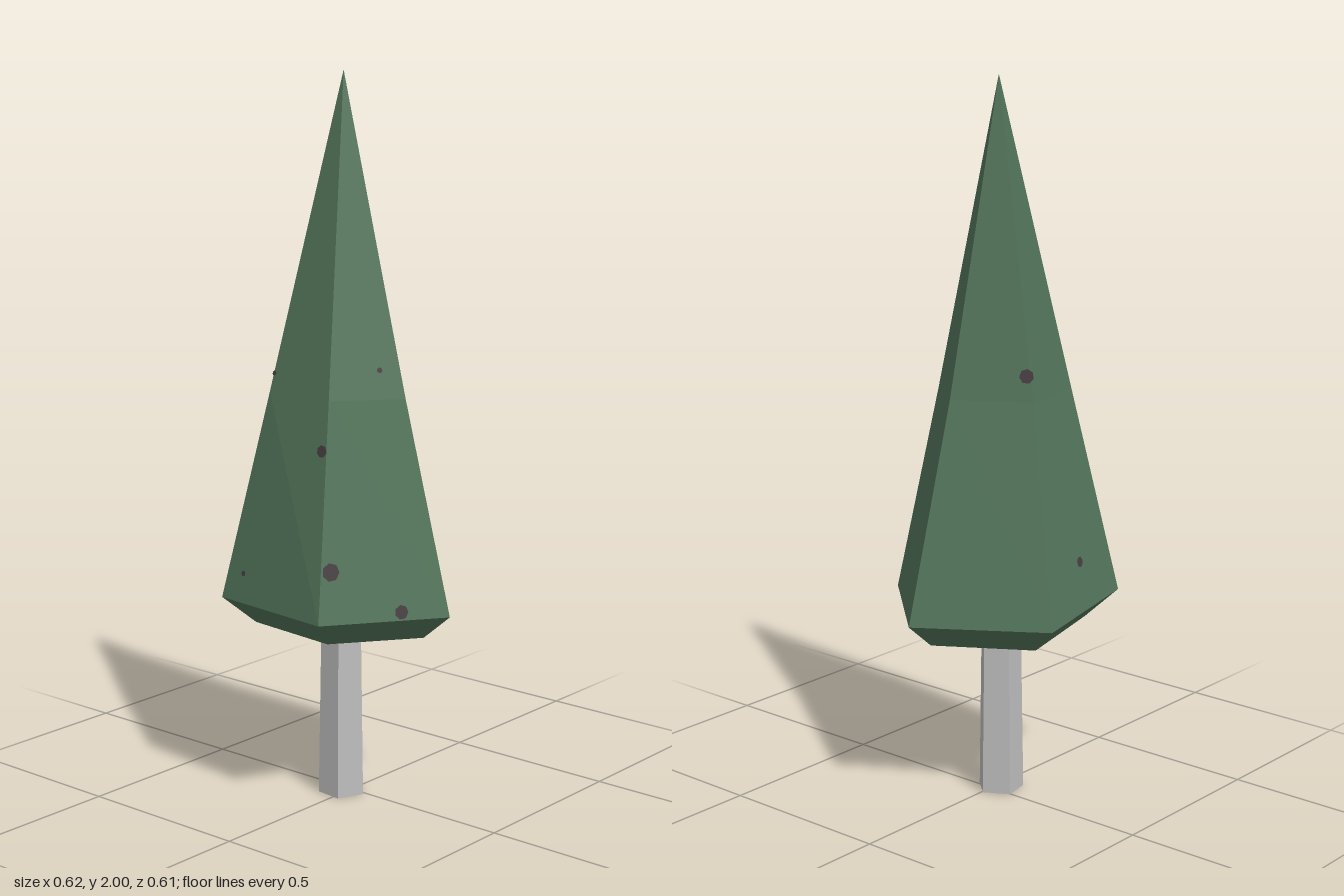
import * as THREE from 'three';

const AXIS = [-0.01, 0.02]; // x, z of the leaning tree's axis

// Flat-faceted skin through five-cornered rings, listed from bottom to top
function loft(rings) {
  const pos = [];
  const same = (a, b) => a.every((v, i) => v === b[i]);
  for (let k = 0; k + 1 < rings.length; k++) {
    const lo = rings[k], up = rings[k + 1];
    for (let j = 0; j < 5; j++) {
      const n = (j + 1) % 5;
      if (!same(up[j], up[n])) pos.push(...lo[j], ...up[j], ...up[n]);
      if (!same(lo[j], lo[n])) pos.push(...lo[j], ...up[n], ...lo[n]);
    }
  }
  const g = new THREE.BufferGeometry();
  g.setAttribute('position', new THREE.Float32BufferAttribute(pos, 3));
  g.computeVertexNormals();
  return g;
}

const point = (y) => Array.from({ length: 5 }, () => [AXIS[0], y, AXIS[1]]);

export function createModel() {
  const group = new THREE.Group();
  const foliageGreen = new THREE.MeshStandardMaterial({ color: 0x52745a });
  foliageGreen.name = 'foliageGreen';
  const trunkGrey = new THREE.MeshStandardMaterial({ color: 0xbdbdbd });
  trunkGrey.name = 'trunkGrey';
  const branchBrown = new THREE.MeshStandardMaterial({ color: 0x463d40 });
  branchBrown.name = 'branchBrown';

  const add = (name, geometry, material) => {
    const mesh = new THREE.Mesh(geometry, material);
    mesh.name = name;
    group.add(mesh);
    return mesh;
  };

  // Foliage: slightly irregular pentagonal spire with a chamfered skirt
  const wide = [[0.03, 0.55, -0.305], [0.305, 0.55, -0.05], [0.145, 0.575, 0.305],
    [-0.24, 0.575, 0.265], [-0.31, 0.56, -0.115]];
  const middle = [[0.018, 1.15, -0.148], [0.183, 1.14, -0.007], [0.083, 1.15, 0.19],
    [-0.13, 1.15, 0.185], [-0.178, 1.15, -0.037]];
  const hemY = [0.48, 0.48, 0.5, 0.5, 0.485];
  const hem = wide.map(([x, , z], i) => [x * 0.74, hemY[i], z * 0.74]);
  const foliage = add('foliage', loft([hem, wide, middle, point(2)]), foliageGreen);

  // Hollow brown underside
  add('foliageUnderside', loft([point(0.58), hem]), branchBrown);

  // Trunk: gently tapered, five-sided
  const trunkRing = (s, y) => wide.map(([x, , z]) => [AXIS[0] + x * s, y, AXIS[1] + z * s]);
  add('trunk', loft([point(0), trunkRing(0.2, 0), trunkRing(0.17, 0.62)]), trunkGrey);

  // Branch tips showing through the foliage: x, y, z, radius
  const tips = [[0.14, 0.71, 0.25, 0.025], [0.085, 1.02, 0.22, 0.017], [0.24, 0.582, 0.08, 0.02],
    [-0.155, 1.22, -0.037, 0.02], [-0.245, 0.7, 0.075, 0.015], [-0.16, 0.655, 0.26, 0.008],
    [0.14, 1.22, 0.05, 0.008], [-0.12, 1.2, 0.177, 0.007]];
  const ray = new THREE.Raycaster();
  for (const [x, y, z, r] of tips) {
    const out = new THREE.Vector3(x - AXIS[0], 0, z - AXIS[1]).normalize();
    ray.set(new THREE.Vector3(AXIS[0], y, AXIS[1]).add(out), out.clone().negate());
    const hit = ray.intersectObject(foliage)[0];
    if (!hit) continue;
    const tip = add('branchTip', new THREE.CircleGeometry(r, 7), branchBrown);
    tip.position.copy(hit.point).addScaledVector(hit.face.normal, 0.003);
    tip.quaternion.setFromUnitVectors(new THREE.Vector3(0, 0, 1), hit.face.normal);
  }
  return group;
}
